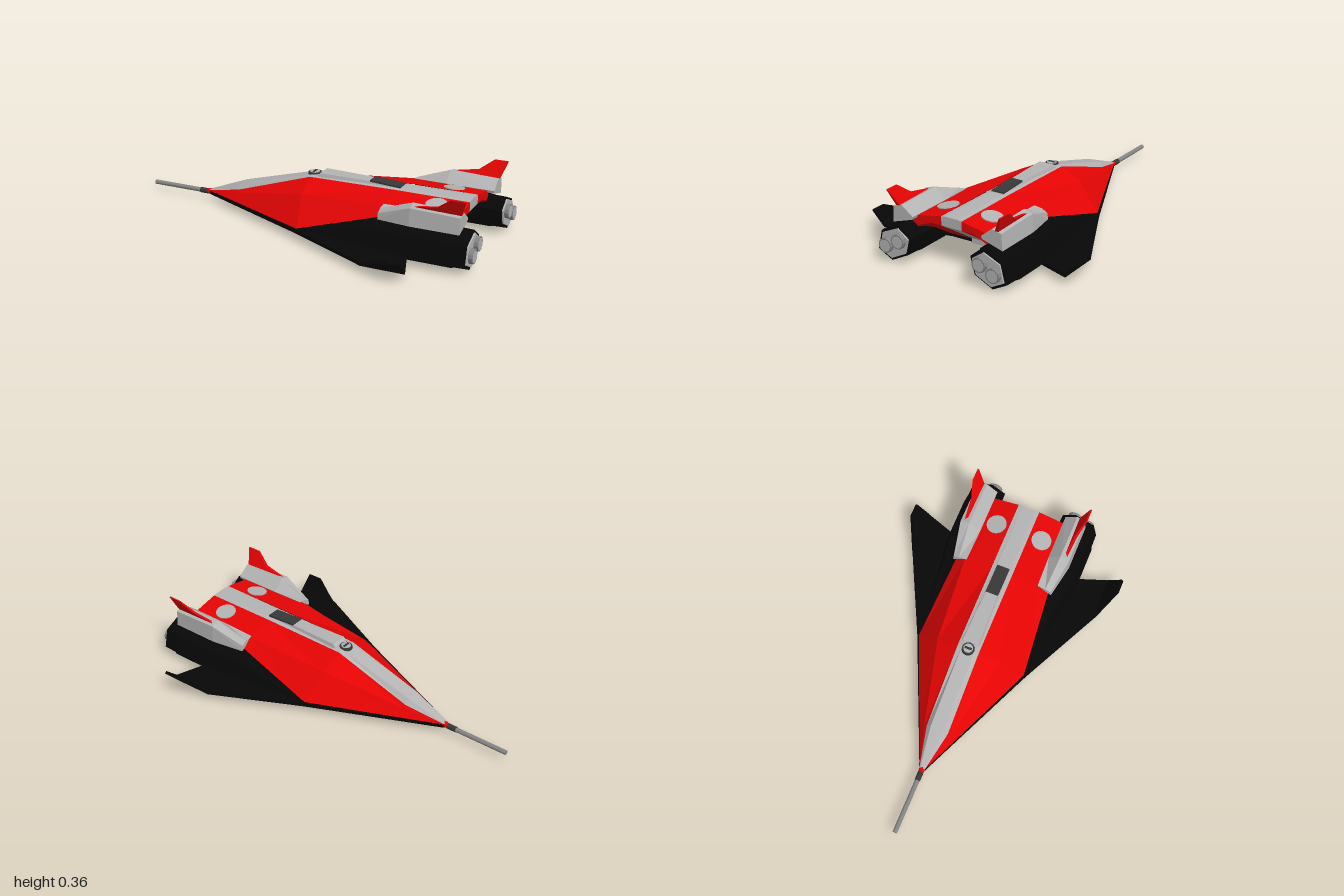
import * as THREE from 'three';

const mat = (name, color) => {
  const m = new THREE.MeshStandardMaterial({ color, flatShading: true, side: THREE.DoubleSide });
  m.name = name;
  return m;
};

export function createModel() {
  const red = mat('red paint', 0xe60404);
  const black = mat('black armour', 0x070707);
  const grey = mat('light grey metal', 0xb4b4b4);
  const mid = mat('mid grey metal', 0x858585);
  const dark = mat('dark grey metal', 0x383838);
  const root = new THREE.Group();

  const add = (name, geo, material, x = 0, y = 0, z = 0) => {
    const m = new THREE.Mesh(geo, material);
    m.name = name;
    m.position.set(x, y, z);
    root.add(m);
    return m;
  };

  // Skin over rows of [x, y, z] points; closed rows become a capped solid.
  const skin = (rows, closed, s = 1) => {
    const tris = [];
    const n = rows[0].length;
    for (let i = 0; i < rows.length - 1; i++) {
      for (let j = 0; j < (closed ? n : n - 1); j++) {
        const k = (j + 1) % n;
        const [a, b, c, d] = [rows[i][j], rows[i][k], rows[i + 1][k], rows[i + 1][j]];
        tris.push([a, b, c], [a, c, d]);
      }
    }
    if (closed) {
      const last = rows[rows.length - 1];
      for (let j = 1; j < n - 1; j++) {
        tris.push([rows[0][0], rows[0][j + 1], rows[0][j]], [last[0], last[j], last[j + 1]]);
      }
    }
    const v = (p) => new THREE.Vector3(p[0], p[1], p[2] * s);
    const pts = tris.map((t) => t.map(v));
    // Turn the faces outward (solids) or upward (open skins)
    let sign = 0;
    for (const [a, b, c] of pts) {
      const cross = b.clone().sub(a).cross(c.clone().sub(a));
      sign += closed ? a.clone().sub(pts[0][0]).dot(cross) : cross.y;
    }
    if (sign < 0) pts.forEach((t) => t.reverse());
    const g = new THREE.BufferGeometry().setFromPoints(pts.flat());
    g.computeVertexNormals();
    return g;
  };
  const ring = (x, yz) => yz.map(([y, z]) => [x, y, z]);
  const rod = (r, len, sides = 12, r2 = r) => new THREE.CylinderGeometry(r, r2, len, sides).rotateZ(Math.PI / 2);

  // Flat delta wing and belly
  const half = [[-0.64, 0.015], [0.04, 0.315], [0.5, 0.54], [0.735, 0.54], [0.675, 0.37], [0.64, 0.18]];
  const outline = [...half, ...half.map(([x, z]) => [x, -z]).reverse()];
  const wing = new THREE.ExtrudeGeometry(
    new THREE.Shape(outline.map(([x, z]) => new THREE.Vector2(x, z))),
    { depth: 0.02, bevelEnabled: false }
  ).rotateX(Math.PI / 2);
  add('deltaWing', wing, black, 0, 0.06, 0);

  // Central spine strip, folding over the tail and under it
  const spine = [
    [-0.64, 0.062, 0.066, 0.015], [-0.43, 0.115, 0.144, 0.06], [0, 0.257, 0.263, 0.06],
    [0.88, 0.263, 0.266, 0.06], [0.88, 0.215, 0.215, 0.06]
  ].map(([x, ye, yt, w]) => [[x, ye, -w], [x, yt, -w * 0.6], [x, yt, w * 0.6], [x, ye, w]]);
  add('spineStrip', skin(spine, false), grey);
  add('tailStrip', skin([
    [[0.88, 0.215, -0.06], [0.88, 0.215, 0.06]],
    [[0.642, 0.06, -0.06], [0.642, 0.06, 0.06]],
    [[0.642, 0.034, -0.06], [0.642, 0.034, 0.06]]
  ], false), grey);

  // Raised fairing with dark vent, and a hatch ahead of it
  const fair = (x, w0, y0, w1, y1) => [[x, y0, -w0], [x, y1, -w1], [x, y1, w1], [x, y0, w0]];
  add('dorsalFairing', skin([
    fair(0.035, 0.052, 0.25, 0.046, 0.266), fair(0.05, 0.052, 0.25, 0.044, 0.28),
    fair(0.33, 0.042, 0.25, 0.034, 0.278), fair(0.5, 0.038, 0.25, 0.033, 0.268)
  ], true), grey);
  add('dorsalVent', new THREE.BoxGeometry(0.17, 0.009, 0.07), dark, 0.415, 0.274, 0).rotation.z = -0.055;
  add('hatchRing', new THREE.CylinderGeometry(0.034, 0.036, 0.014, 12), dark, 0, 0.262, 0);
  add('hatch', new THREE.CylinderGeometry(0.026, 0.026, 0.004, 12), grey, 0, 0.27, 0);
  add('hatchBar', new THREE.BoxGeometry(0.012, 0.003, 0.04), dark, 0, 0.273, 0);

  // Nose probe
  add('probe', rod(0.0125, 0.3), mid, -0.85, 0.05, 0);
  add('probeCollar', rod(0.015, 0.05), dark, -0.68, 0.05, 0);
  add('noseCap', rod(0.014, 0.03, 12, 0.018), red, -0.642, 0.052, 0);

  // Belly keel, sensor disc and gun
  add('keel', new THREE.BoxGeometry(0.55, 0.008, 0.11), grey, 0.367, 0.037, 0);
  add('keelFront', new THREE.BoxGeometry(0.42, 0.012, 0.07), grey, -0.16, 0.036, 0);
  add('keelNose', new THREE.BoxGeometry(0.23, 0.006, 0.03), mid, -0.48, 0.038, 0);
  add('sensorDisc', new THREE.CylinderGeometry(0.095, 0.095, 0.014, 24), grey, 0.1, 0.033, 0);
  add('gunMount', new THREE.BoxGeometry(0.16, 0.016, 0.05), dark, -0.24, 0.025, 0);
  add('gunBarrel', rod(0.008, 0.12, 8), mid, -0.25, 0.012, 0);
  for (const z of [-0.026, 0.026]) add('sideGunBarrel', rod(0.009, 0.24, 8), mid, -0.28, 0.021, z);

  // Engine section as [y, z]
  const hex = [[0.21, 0.245], [0.16, 0.36], [0.05, 0.386], [0.004, 0.298], [0.058, 0.19], [0.154, 0.165]];
  const scaled = (k) => hex.map(([y, z]) => [0.109 + (y - 0.109) * k, 0.274 + (z - 0.274) * k]);

  for (const s of [1, -1]) {
    const side = s > 0 ? 'left' : 'right';

    // Faceted red hull
    add(side + 'Hull', skin([
      [[-0.635, 0.058, 0.018], [-0.635, 0.062, 0.017], [-0.635, 0.064, 0.015]],
      [[-0.43, 0.06, 0.104], [-0.43, 0.1, 0.075], [-0.43, 0.115, 0.06]],
      [[0.04, 0.062, 0.305], [0.01, 0.2, 0.18], [0, 0.257, 0.06]],
      [[0.48, 0.19, 0.268], [0.48, 0.236, 0.215], [0.48, 0.263, 0.06]],
      [[0.88, 0.2, 0.235], [0.88, 0.237, 0.2], [0.88, 0.263, 0.06]]
    ], false, s), red);
    // Tail lip and undercut rear panel
    add(side + 'Tail', skin([
      [[0.88, 0.263, 0.06], [0.88, 0.25, 0.13], [0.88, 0.237, 0.2], [0.88, 0.2, 0.235]],
      [[0.88, 0.215, 0.06], [0.88, 0.215, 0.12], [0.88, 0.195, 0.175], [0.88, 0.18, 0.2]],
      [[0.64, 0.055, 0.06], [0.64, 0.055, 0.13], [0.64, 0.055, 0.19], [0.64, 0.055, 0.2]]
    ], false, s), red);

    // Round plate on the rear deck
    add(side + 'DeckDisc', new THREE.CylinderGeometry(0.055, 0.055, 0.008, 24), grey, 0.73, 0.252, s * 0.13)
      .rotation.x = s * 0.177;

    // Upturned wing tip
    add(side + 'WingTip', skin([
      [[0.5, 0.06, 0.535], [0.735, 0.06, 0.535], [0.735, 0.04, 0.542], [0.5, 0.04, 0.542]],
      [[0.66, 0.126, 0.606], [0.735, 0.126, 0.606], [0.735, 0.116, 0.617], [0.66, 0.116, 0.617]]
    ], true, s), black);

    // Engine housing
    add(side + 'EngineHousing', skin([
      ring(0.04, [[0.062, 0.25], [0.06, 0.308], [0.05, 0.31], [0.036, 0.298], [0.038, 0.2], [0.055, 0.18]]),
      ring(0.46, [[0.187, 0.25], [0.15, 0.335], [0.05, 0.36], [0.01, 0.298], [0.045, 0.19], [0.15, 0.165]]),
      ring(0.62, hex), ring(0.88, hex), ring(0.89, scaled(0.95)), ring(0.97, scaled(0.93))
    ], true, s), black);
    add(side + 'EnginePlate', skin([ring(0.96, scaled(0.8)), ring(0.978, scaled(0.8))], true, s), grey);
    for (const [y, z] of [[0.094, 0.314], [0.13, 0.238]]) {
      add(side + 'Nozzle', rod(0.038, 0.03, 12), mid, 0.985, y, s * z);
      add(side + 'NozzleCore', rod(0.031, 0.004, 12), grey, 0.999, y, s * z);
    }

    // Grey pod over the engine
    const pod = [[0.19, 0.32], [0.283, 0.314], [0.296, 0.264], [0.24, 0.2], [0.225, 0.205]];
    add(side + 'Pod', skin([
      ring(0.48, [[0.183, 0.285], [0.215, 0.28], [0.232, 0.25], [0.238, 0.205], [0.22, 0.21]]),
      ring(0.66, pod),
      ring(0.92, pod.map(([y, z]) => [y > 0.25 ? y - 0.008 : y, z]))
    ], true, s), grey);

    // Canted red fin: outline as [x, y, z, half thickness]
    const fin = [[0.8, 0.308, 0.3, 0.008], [0.875, 0.365, 0.327, 0.004], [0.95, 0.365, 0.327, 0.004],
      [0.92, 0.282, 0.288, 0.01], [0.67, 0.286, 0.288, 0.008]];
    add(side + 'Fin', skin([-1, 1].map((t) => fin.map(([x, y, z, h]) => [x, y, z + t * h])), true, s), red);
  }
  return root;
}
